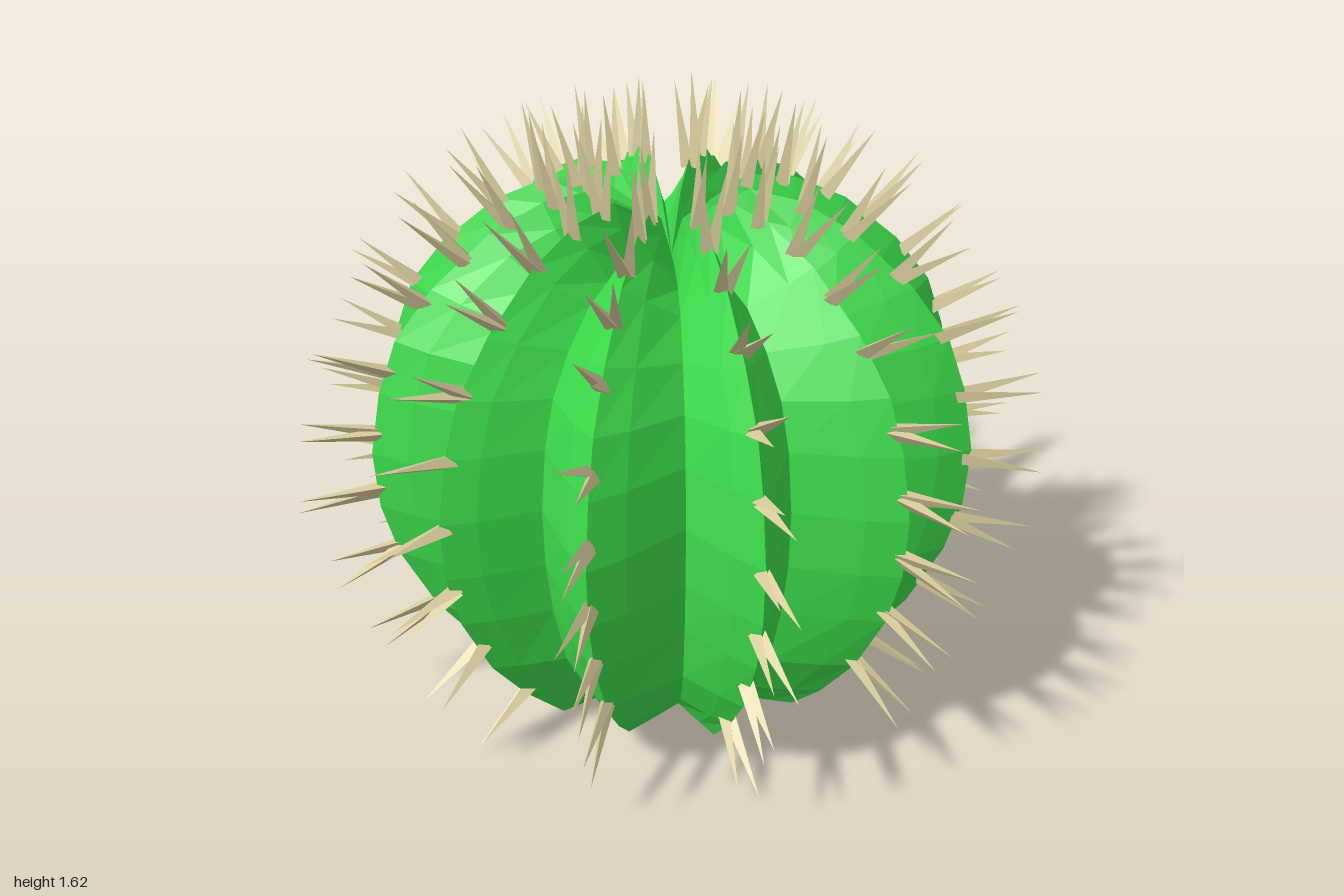
import * as THREE from 'three';
import { mergeGeometries } from 'three/addons/utils/BufferGeometryUtils.js';

const RIBS = 12;
const STEP = (Math.PI * 2) / RIBS;

// Profiles as [radius, height], from the centre of the base up to the sunken crown
const RIDGE = [
  [0, 0.04], [0.42, 0], [0.55, 0.13], [0.66, 0.27], [0.75, 0.45], [0.79, 0.6], [0.8, 0.76], [0.77, 0.93],
  [0.72, 1.07], [0.62, 1.2], [0.47, 1.33], [0.33, 1.4], [0.2, 1.42], [0.1, 1.36], [0, 1.22],
];
const VALLEY = [
  [0, 0.04], [0.32, 0.04], [0.42, 0.13], [0.51, 0.27], [0.56, 0.45], [0.585, 0.6], [0.59, 0.76], [0.57, 0.92],
  [0.53, 1.04], [0.46, 1.14], [0.37, 1.22], [0.28, 1.25], [0.17, 1.25], [0.08, 1.24], [0, 1.22],
];
// Valleys lie slightly off the middle between two ridges (in degrees, repeating every half turn)
const VALLEY_SHIFT = [1.2, -2.6, 3, -3, 2.6, -1.2];
// Only these ridges reach the ground, the others end a little higher
const STANDING = [3, 7, 9, 11];

// Spine clusters on even and odd ridges, staggered
const CLUSTERS = [
  [[0.66, 0.28], [0.755, 0.47], [0.795, 0.65], [0.795, 0.82], [0.75, 0.99],
    [0.65, 1.17], [0.54, 1.28], [0.42, 1.36], [0.3, 1.405], [0.2, 1.41]],
  [[0.55, 0.14], [0.7, 0.35], [0.775, 0.55], [0.8, 0.74], [0.77, 0.92],
    [0.71, 1.08], [0.59, 1.23], [0.46, 1.335], [0.34, 1.39], [0.24, 1.41]],
];

function seeded(seed) {
  return () => {
    seed = (seed * 16807) % 2147483647;
    return seed / 2147483647;
  };
}

function polar(r, y, a) {
  return new THREE.Vector3(r * Math.sin(a), y, r * Math.cos(a));
}

function ridgePoint(row, rib) {
  const raised = row === 1 && !STANDING.includes(rib);
  const [r, y] = raised ? [0.455, 0.04] : RIDGE[row];
  return polar(r, y, rib * STEP);
}

// One ring point: ridge, flank, valley, flank for every rib
function ringPoint(row, col) {
  const rib = Math.floor(col / 4), k = col % 4;
  const shift = THREE.MathUtils.degToRad(VALLEY_SHIFT[rib % 6]);
  const valley = polar(...VALLEY[row], (rib + 0.5) * STEP + shift);
  if (k === 2) return valley;
  const ridge = ridgePoint(row, (rib + (k === 3 ? 1 : 0)) % RIBS);
  if (k === 0) return ridge;
  // Flanks swell a little beyond the straight line from ridge to valley
  const swell = 1 + 0.02 * Math.sin((Math.PI * row) / (RIDGE.length - 1));
  const flank = ridge.lerp(valley, 0.4);
  return flank.set(flank.x * swell, flank.y, flank.z * swell);
}

function bodyGeometry() {
  const cols = RIBS * 4, last = RIDGE.length - 1;
  const pos = [];
  const tri = (...pts) => pts.forEach((p) => pos.push(p.x, p.y, p.z));
  for (let i = 0; i < last; i++) {
    for (let j = 0; j < cols; j++) {
      const n = (j + 1) % cols;
      const a = ringPoint(i, j), b = ringPoint(i, n), c = ringPoint(i + 1, n), d = ringPoint(i + 1, j);
      if (i > 0) tri(a, b, c);
      if (i < last - 1) tri(a, c, d);
    }
  }
  const geo = new THREE.BufferGeometry();
  geo.setAttribute('position', new THREE.Float32BufferAttribute(pos, 3));
  geo.computeVertexNormals();
  return geo;
}

// A thin three-sided cone from base along dir
function spine(base, dir, length) {
  const geo = new THREE.ConeGeometry(0.02, length, 3, 1);
  geo.translate(0, length / 2 - 0.02, 0);
  geo.applyQuaternion(new THREE.Quaternion().setFromUnitVectors(new THREE.Vector3(0, 1, 0), dir));
  return geo.translate(base.x, base.y, base.z);
}

// All spine clusters of one rib, a splayed pair in each
function spineRow(rib, rand) {
  const angle = rib * STEP;
  const side = polar(1, 0, angle + Math.PI / 2);
  const parts = [];
  for (const [r, y] of CLUSTERS[rib % 2]) {
    const base = polar(r, y, angle);
    const tilt = r < 0.36 ? Math.PI / 2 - r * 0.6 : Math.max(Math.atan2(y - 0.72, r), -0.5);
    const axis = polar(Math.cos(tilt), Math.sin(tilt), angle);
    const up = new THREE.Vector3().crossVectors(axis, side);
    const turn = rand() * Math.PI * 2;
    for (let k = 0; k < 2; k++) {
      const t = turn + k * Math.PI;
      const out = side.clone().multiplyScalar(Math.cos(t)).addScaledVector(up, Math.sin(t));
      const dir = axis.clone().addScaledVector(out, 0.08 + rand() * 0.12).normalize();
      parts.push(spine(base.clone().addScaledVector(out, 0.008), dir, 0.2 + rand() * 0.03));
    }
  }
  return mergeGeometries(parts);
}

export function createModel() {
  const model = new THREE.Group();
  model.name = 'barrelCactus';

  const green = new THREE.MeshStandardMaterial({ color: 0x3cdc4a, flatShading: true });
  const straw = new THREE.MeshStandardMaterial({ color: 0xd8cc9c, flatShading: true });

  // Ribbed body
  const body = new THREE.Mesh(bodyGeometry(), green);
  body.name = 'ribbedBody';
  model.add(body);

  // Spines on every ridge
  const rand = seeded(71);
  const spines = new THREE.Group();
  spines.name = 'spines';
  for (let i = 0; i < RIBS; i++) {
    const row = new THREE.Mesh(spineRow(i, rand), straw);
    row.name = `spineRow${i + 1}`;
    spines.add(row);
  }
  model.add(spines);
  return model;
}
